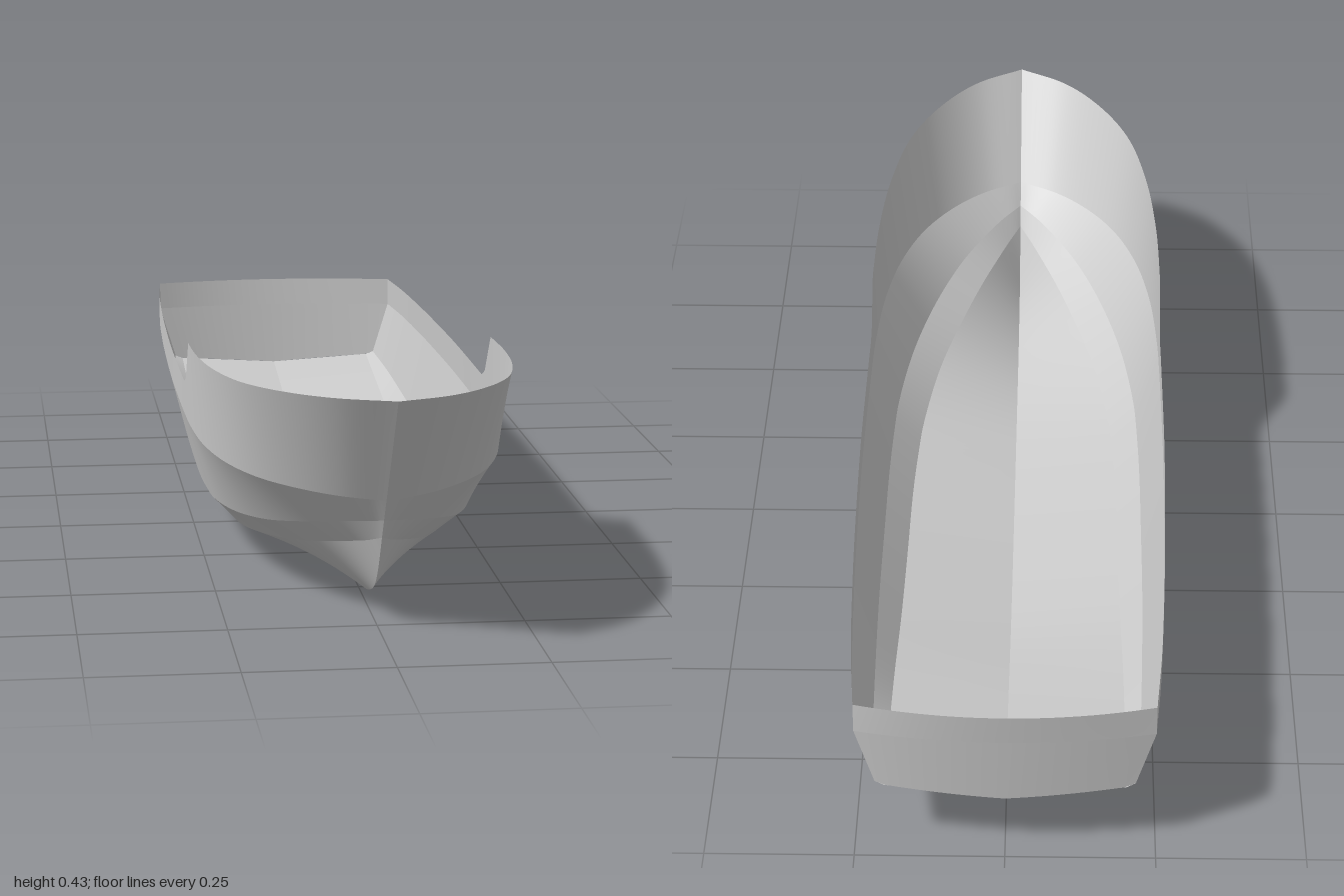
import * as THREE from 'three';

const STEPS = 8; // samples between two stations
const material = new THREE.MeshStandardMaterial({ color: 0xcccccc, side: THREE.DoubleSide });

// Hull lines for the left half: [x, y, z] at matching stations from stern to stem
const LINES = {
  keel: [
    [0, 0.112, -0.985], [0, 0.087, -0.82], [0, 0.048, -0.6], [0, 0.014, -0.4], [0, 0.002, -0.2],
    [0, 0, 0], [0, 0.001, 0.13], [0, 0.004, 0.23], [0, 0.008, 0.4], [0, 0.017, 0.56],
    [0, 0.038, 0.66], [0, 0.063, 0.72], [0, 0.097, 0.759], [0, 0.165, 0.808],
  ],
  lowerChine: [
    [0.2, 0.127, -0.971], [0.2, 0.105, -0.82], [0.2, 0.073, -0.6], [0.197, 0.052, -0.4], [0.195, 0.044, -0.2],
    [0.193, 0.043, 0], [0.188, 0.046, 0.13], [0.181, 0.052, 0.23], [0.153, 0.075, 0.4], [0.11, 0.1, 0.55],
    [0.074, 0.122, 0.65], [0.044, 0.139, 0.72], [0.021, 0.152, 0.77], [0, 0.165, 0.808],
  ],
  upperChine: [
    [0.215, 0.133, -0.968], [0.225, 0.122, -0.82], [0.232, 0.108, -0.6], [0.236, 0.097, -0.4], [0.237, 0.092, -0.2],
    [0.237, 0.092, 0], [0.234, 0.096, 0.13], [0.229, 0.101, 0.23], [0.205, 0.117, 0.4], [0.165, 0.138, 0.55],
    [0.12, 0.16, 0.66], [0.08, 0.176, 0.73], [0.038, 0.19, 0.79], [0, 0.2, 0.833],
  ],
  knuckle: [
    [0.247, 0.237, -0.968], [0.258, 0.237, -0.82], [0.267, 0.237, -0.6], [0.272, 0.237, -0.4], [0.275, 0.237, -0.2],
    [0.275, 0.237, 0], [0.274, 0.237, 0.13], [0.272, 0.237, 0.23], [0.26, 0.237, 0.4], [0.232, 0.238, 0.55],
    [0.188, 0.239, 0.67], [0.13, 0.24, 0.76], [0.07, 0.24, 0.82], [0, 0.24, 0.862],
  ],
  sheer: [
    [0.247, 0.385, -0.968], [0.258, 0.385, -0.82], [0.267, 0.385, -0.6], [0.272, 0.385, -0.4], [0.275, 0.385, -0.2],
    [0.275, 0.385, 0], [0.275, 0.386, 0.13], [0.274, 0.387, 0.23], [0.27, 0.395, 0.4], [0.253, 0.405, 0.58],
    [0.218, 0.415, 0.74], [0.16, 0.423, 0.86], [0.09, 0.429, 0.945], [0, 0.433, 1],
  ],
};

function sampleLine(points) {
  const curve = new THREE.CatmullRomCurve3(points.map((p) => new THREE.Vector3(...p)));
  const n = (points.length - 1) * STEPS;
  return Array.from({ length: n + 1 }, (_, i) => curve.getPoint(i / n));
}

// Height of the rail: low aft, with a sloped break up to the bow bulwark
function railHeight(z) {
  const steps = [[-1, 0.291], [0.13, 0.298], [0.165, 0.311], [0.228, 0.386]];
  for (let i = 1; i < steps.length; i++) {
    const [z0, y0] = steps[i - 1], [z1, y1] = steps[i];
    if (z <= z1) return THREE.MathUtils.mapLinear(z, z0, z1, y0, y1);
  }
  return 1;
}

// Surface through rows of points; flip reverses the facing
function loft(name, rows, flip) {
  const n = rows[0].length, index = [];
  for (let r = 0; r < rows.length - 1; r++) {
    for (let i = 0; i < n - 1; i++) {
      const a = r * n + i, b = a + n;
      if (flip) index.push(a, a + 1, b, b, a + 1, b + 1);
      else index.push(a, b, a + 1, b, b + 1, a + 1);
    }
  }
  const geometry = new THREE.BufferGeometry().setFromPoints(rows.flat());
  geometry.setIndex(index);
  geometry.computeVertexNormals();
  const mesh = new THREE.Mesh(geometry, material);
  mesh.name = name;
  return mesh;
}

export function createModel() {
  const model = new THREE.Group();
  model.name = 'boatHull';

  const line = {};
  for (const key in LINES) line[key] = sampleLine(LINES[key]);

  // Top edge: side surface trimmed at the rail height
  line.rail = line.sheer.map((s, i) => {
    const k = line.knuckle[i];
    const f = Math.min(1, (railHeight(s.z) - k.y) / (s.y - k.y));
    return k.clone().lerp(s, f);
  });

  // Hull panels, mirrored, with sharp edges along the chines
  const panels = [
    ['bottom', 'keel', 'lowerChine'],
    ['bilge', 'lowerChine', 'upperChine'],
    ['lowerSide', 'upperChine', 'knuckle'],
    ['upperSide', 'knuckle', 'rail'],
  ];
  for (const side of [1, -1]) {
    const suffix = side > 0 ? 'Left' : 'Right';
    const mirror = (p) => new THREE.Vector3(p.x * side, p.y, p.z);
    for (const [name, low, high] of panels) {
      model.add(loft(name + suffix, [line[low].map(mirror), line[high].map(mirror)], side < 0));
    }
  }

  // Transom: rows across the stern, bowed aft in the middle
  const [keel, low, chine, knuckle, rail] =
    ['keel', 'lowerChine', 'upperChine', 'knuckle', 'rail'].map((key) => line[key][0]);
  const across = Array.from({ length: 25 }, (_, i) => i / 12 - 1);
  const row = (end, bulge, height = () => end.y) => across.map((u) =>
    new THREE.Vector3(u * end.x, height(Math.abs(u) * end.x), end.z - bulge * (1 - u * u)));
  const bottomHeight = (x) => x < low.x
    ? THREE.MathUtils.mapLinear(x, 0, low.x, keel.y, low.y)
    : THREE.MathUtils.mapLinear(x, low.x, chine.x, low.y, chine.y);
  const bottomRow = row(chine, 0.017, bottomHeight);
  const knuckleRow = row(knuckle, 0.027);
  model.add(loft('transomLower', [bottomRow, knuckleRow], false));
  model.add(loft('transomUpper', [knuckleRow, row(rail, 0.032)], false));

  return model;
}
